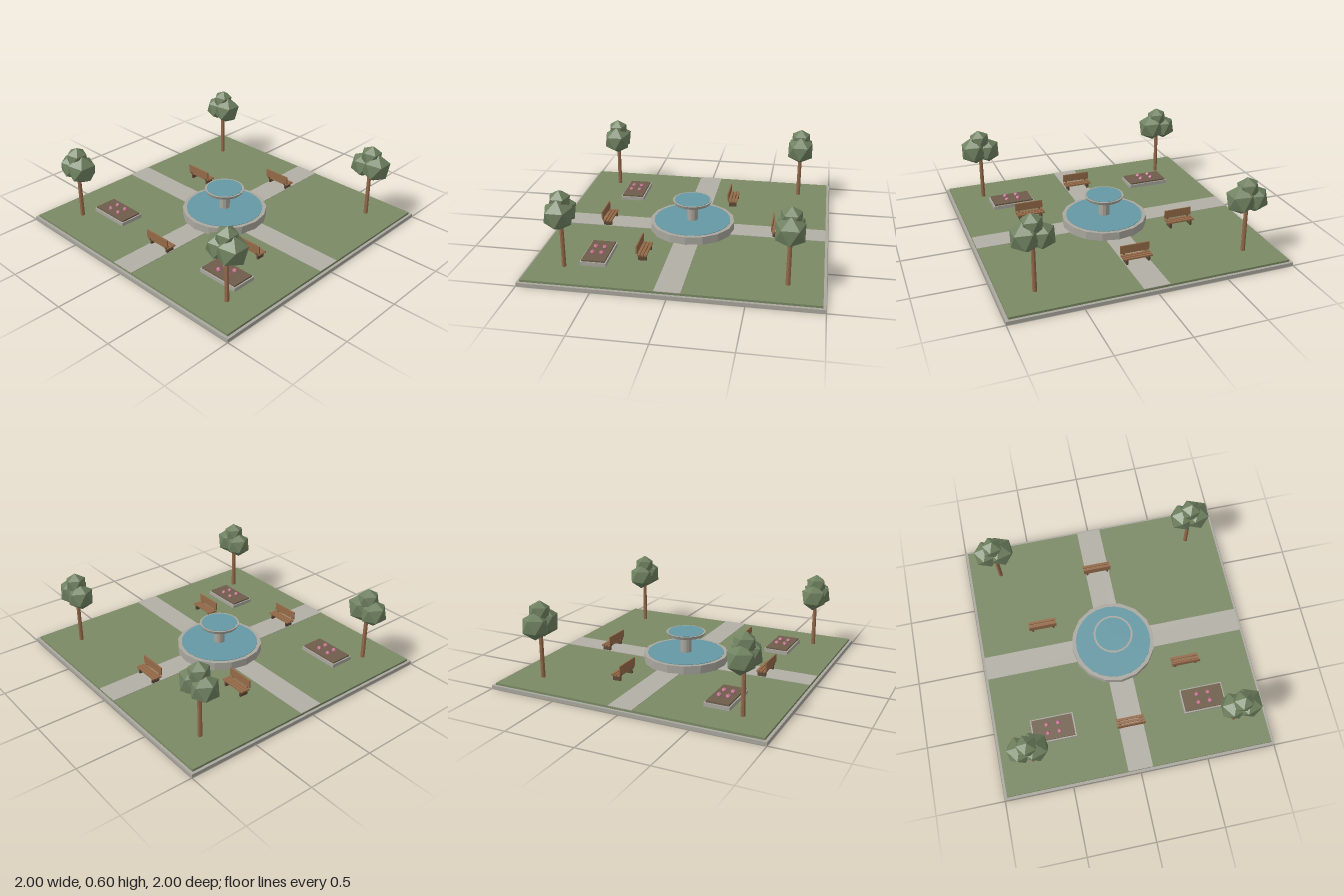
import * as THREE from 'three';

const mat = (name, color) => {
  const m = new THREE.MeshStandardMaterial({ color });
  m.name = name;
  return m;
};

export function createModel() {
  const stone = mat('stone', 0xa9a79e);
  const paving = mat('paving', 0xb2afa5);
  const grass = mat('grass', 0x7a8964);
  const water = mat('water', 0x6598a4);
  const trunkWood = mat('trunk wood', 0x94694a);
  const benchWood = mat('bench wood', 0x956a48);
  const benchLeg = mat('bench leg', 0x5f4936);
  const soil = mat('soil', 0x6f5d4a);
  const petal = mat('petal', 0xc4748f);
  const leaf = mat('leaf', 0x6f8160);

  const park = new THREE.Group();
  park.name = 'park';

  const add = (parent, name, geo, material, x = 0, y = 0, z = 0) => {
    const mesh = new THREE.Mesh(geo, material);
    mesh.name = name;
    mesh.position.set(x, y, z);
    parent.add(mesh);
    return mesh;
  };
  // Box and faceted cylinder placed by their lower and upper heights
  const box = (parent, name, m, w, d, y0, y1, x = 0, z = 0) =>
    add(parent, name, new THREE.BoxGeometry(w, y1 - y0, d), m, x, (y0 + y1) / 2, z);
  const drum = (parent, name, m, rTop, rBottom, y0, y1, sides) => {
    const geo = new THREE.CylinderGeometry(rTop, rBottom, y1 - y0, sides).toNonIndexed();
    geo.computeVertexNormals();
    return add(parent, name, geo, m, 0, (y0 + y1) / 2, 0);
  };
  const group = (name, x, z) => {
    const g = new THREE.Group();
    g.name = name;
    g.position.set(x, 0, z);
    park.add(g);
    return g;
  };

  // Ground slab, lawn and crossing paths
  box(park, 'baseSlab', stone, 2, 2, 0, 0.024);
  box(park, 'lawn', grass, 1.96, 1.96, 0.024, 0.039);
  box(park, 'pathAcross', paving, 1.96, 0.175, 0.036, 0.042);
  box(park, 'pathLengthwise', paving, 0.182, 1.96, 0.036, 0.0425);

  // Two-tier fountain
  const fountain = group('fountain', 0, 0);
  drum(fountain, 'basin', stone, 0.312, 0.312, 0.039, 0.1, 16);
  drum(fountain, 'basinWater', water, 0.282, 0.282, 0.096, 0.103, 24);
  drum(fountain, 'pedestal', stone, 0.04, 0.04, 0.1, 0.236, 12);
  drum(fountain, 'upperBowl', stone, 0.145, 0.135, 0.236, 0.259, 20);
  drum(fountain, 'upperWater', water, 0.131, 0.131, 0.255, 0.261, 20);

  // Benches: three seat slats, a back board and two legs
  for (const [x, z] of [[0, 0.63], [0, -0.63], [0.5, 0.25], [-0.5, -0.25]]) {
    const bench = group('bench', x, z);
    for (const dz of [-0.026, -0.002, 0.022])
      box(bench, 'seatSlat', benchWood, 0.21, 0.018, 0.077, 0.088, 0, dz);
    box(bench, 'backBoard', benchWood, 0.21, 0.009, 0.094, 0.154, 0, 0.034);
    for (const side of [-1, 1]) {
      box(bench, 'leg', benchLeg, 0.014, 0.06, 0.039, 0.077, side * 0.08, -0.002);
      box(bench, 'backPost', benchLeg, 0.012, 0.006, 0.077, 0.1, side * 0.08, 0.033);
    }
  }

  // Raised flower beds
  for (const side of [-1, 1]) {
    const bed = group('flowerBed', side * 0.565, 0.56);
    box(bed, 'bedCurb', stone, 0.32, 0.182, 0.039, 0.066);
    box(bed, 'bedSoil', soil, 0.3, 0.162, 0.066, 0.077);
    for (const dx of [-0.043, 0.043])
      for (const dz of [-0.032, 0.032])
        add(bed, 'flower', new THREE.IcosahedronGeometry(0.018, 0), petal, dx, 0.085, dz);
  }

  // Corner trees: slim trunk and three faceted leaf clumps [radius, x, y]
  const clumps = [[0.11, 0.045, 0.437], [0.1, -0.056, 0.43], [0.08, 0, 0.516]];
  for (const x of [-0.75, 0.75])
    for (const z of [-0.75, 0.75]) {
      const tree = group('tree', x, z);
      drum(tree, 'trunk', trunkWood, 0.014, 0.016, 0, 0.4, 8);
      for (const [r, dx, y] of clumps)
        add(tree, 'leafClump', new THREE.IcosahedronGeometry(r, 0), leaf, dx, y, 0).rotation.z = 0.45;
    }

  return park;
}
